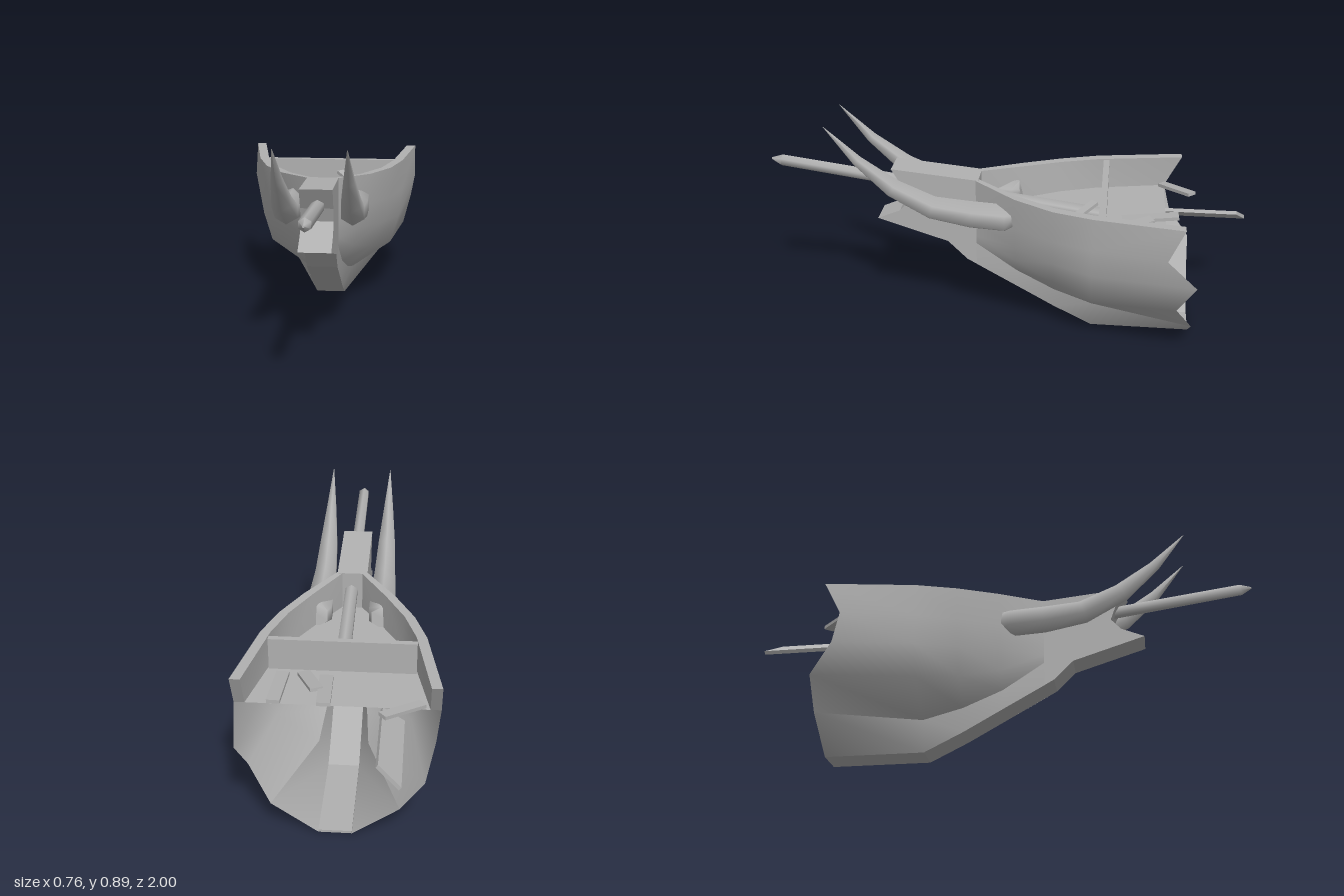
import * as THREE from 'three';
import { toCreasedNormals } from 'three/addons/utils/BufferGeometryUtils.js';

const grey = new THREE.MeshStandardMaterial({ color: 0xb0b0b0, side: THREE.DoubleSide });
grey.name = 'weathered grey';

const DECK = 0.49;
// Half cross-sections [x, y], keel to rail, at each z
const STATIONS = [
  { z: -0.77, p: [[0.063, 0], [0.24, 0.125], [0.33, 0.25], [0.365, 0.37], [0.38, 0.49], [0.38, 0.625]] },
  { z: -0.36, p: [[0.063, 0], [0.1, 0.125], [0.27, 0.245], [0.307, 0.37], [0.32, 0.49], [0.32, 0.625]] },
  { z: -0.2, p: [[0.063, 0.08], [0.085, 0.175], [0.19, 0.27], [0.238, 0.38], [0.262, 0.49], [0.27, 0.625]] },
  { z: -0.04, p: [[0.063, 0.17], [0.07, 0.25], [0.115, 0.32], [0.15, 0.4], [0.176, 0.5], [0.187, 0.632]] },
  { z: 0.13, p: [[0.063, 0.265], [0.063, 0.365], [0.064, 0.4], [0.064, 0.46], [0.064, 0.54], [0.064, 0.65]] },
];
// Broken rear edge: z of every row, for each side
const BROKEN = {
  1: [-0.77, -0.77, -0.7, -0.77, -0.65, -0.71],
  [-1]: [-0.77, -0.77, -0.77, -0.68, -0.65, -0.72],
};

// Surface through equal-length rows of [x, y, z] points
function loft(rows, flip, crease = 0.8) {
  const n = rows[0].length, index = [];
  for (let i = 0; i < rows.length - 1; i++) {
    for (let j = 0; j < n - 1; j++) {
      const a = i * n + j, b = a + 1, c = a + n, d = c + 1;
      if (flip) index.push(a, c, b, b, c, d);
      else index.push(a, b, c, b, d, c);
    }
  }
  const g = new THREE.BufferGeometry();
  g.setAttribute('position', new THREE.Float32BufferAttribute(rows.flat(2), 3));
  g.setIndex(index);
  return toCreasedNormals(g, crease);
}

function add(parent, name, geometry) {
  const mesh = new THREE.Mesh(geometry, grey);
  mesh.name = name;
  parent.add(mesh);
  return mesh;
}

function hullSide(s) {
  const side = new THREE.Group();
  side.name = s > 0 ? 'leftHull' : 'rightHull';
  const rows = STATIONS.map(({ z, p }, i) =>
    p.map(([x, y], j) => [s * x, y, i === 0 ? BROKEN[s][j] : z]));
  add(side, 'lowerStrake', loft(rows.map(r => r.slice(0, 2)), s < 0));
  add(side, 'sidePlanking', loft(rows.map(r => r.slice(1)), s < 0));
  // Rail, inner bulwark and half of the deck
  const inner = rows.map((r, i) => {
    const t = i === 4 ? 0.028 : 0.04, top = r[5], low = r[4];
    return [
      top,
      [top[0] - s * t, top[1], top[2]],
      [low[0] - s * t, DECK, low[2]],
      [0, DECK, low[2]],
    ];
  });
  add(side, 'railAndDeck', loft(inner, s < 0, 0.4));
  add(side, 'bulwarkEnd', loft([[inner[0][2], inner[0][1]], [rows[0][4], rows[0][5]]], s < 0));
  return side;
}

// Solid with a [z, y] outline, running across x
function crossSolid(points, width) {
  const g = new THREE.ExtrudeGeometry(
    new THREE.Shape(points.map(([z, y]) => new THREE.Vector2(-z, y))),
    { depth: width, bevelEnabled: false });
  return g.translate(0, 0, -width / 2).rotateY(Math.PI / 2);
}

// Six-sided curved horn: path entries are [z, y, radius]
function tusk(s) {
  const path = [[-0.04, 0.53, 0.045], [0, 0.522, 0.06], [0.14, 0.53, 0.06], [0.3, 0.553, 0.052],
    [0.46, 0.632, 0.042], [0.6, 0.745, 0.024], [0.73, 0.885, 0.001]];
  const rows = path.map(([z, y, r], i) => {
    const a = path[Math.max(i - 1, 0)], b = path[Math.min(i + 1, path.length - 1)];
    const tilt = Math.atan2(b[1] - a[1], b[0] - a[0]);
    return Array.from({ length: 7 }, (_, k) => {
      const t = -Math.PI / 2 + k * Math.PI / 3, v = Math.sin(t) * r;
      return [s * 0.13 + Math.cos(t) * r, y + v * Math.cos(tilt), z - v * Math.sin(tilt)];
    });
  });
  // Closed root
  rows.unshift(rows[0].map(() => [s * 0.13, 0.53, -0.04]));
  return loft(rows, false, 1.2);
}

export function createModel() {
  const model = new THREE.Group();
  model.name = 'brokenShipBow';
  for (const s of [1, -1]) {
    model.add(hullSide(s));
    add(model, s > 0 ? 'leftTusk' : 'rightTusk', tusk(s));
  }

  // Keel with raised, notched stem
  add(model, 'keelAndStem', crossSolid([
    [-0.77, 0], [-0.36, 0], [-0.2, 0.08], [0.17, 0.288], [0.25, 0.367], [0.545, 0.46],
    [0.45, 0.5], [0.41, 0.545], [0.43, 0.6], [0.48, 0.685], [0.12, 0.65], [0.12, 0.28],
    [-0.2, 0.09], [-0.36, 0.01], [-0.77, 0.01],
  ], 0.126));

  // Bulkhead across the deck
  const bulkhead = add(model, 'bulkhead', new THREE.BoxGeometry(0.57, 0.13, 0.025));
  bulkhead.position.set(0, 0.555, -0.395);

  // Bowsprit with a pointed end
  const bowsprit = new THREE.Group();
  bowsprit.name = 'bowsprit';
  const pole = add(bowsprit, 'pole', toCreasedNormals(new THREE.CylinderGeometry(0.025, 0.031, 1.34, 6), 1.2));
  pole.position.y = -0.045;
  const tip = add(bowsprit, 'tip', new THREE.CylinderGeometry(0.004, 0.025, 0.045, 6));
  tip.position.y = 0.6475;
  bowsprit.position.set(0.004, 0.596, 0.335);
  bowsprit.rotation.x = Math.PI / 2 - 0.135;
  model.add(bowsprit);

  // Loose planks: [x, y, z, width, length, turn, pitch]
  [
    [0.05, 0.515, -0.585, 0.052, 0.23, 0.04, 0.1],
    [0.112, 0.512, -0.52, 0.05, 0.16, 0.42, 0.12],
    [0.228, 0.505, -0.56, 0.05, 0.22, -0.04, 0.05],
    [0.105, 0.535, -0.29, 0.035, 0.2, 0.75, 0.35],
    [-0.24, 0.518, -0.7, 0.04, 0.19, -0.86, 0.12],
  ].forEach(([x, y, z, w, l, turn, pitch], i) => {
    const plank = add(model, 'loosePlank' + (i + 1), new THREE.BoxGeometry(w, 0.014, l));
    plank.position.set(x, y, z);
    plank.rotation.set(pitch, turn, 0, 'YXZ');
  });

  // Splintered beam hanging out behind, rolled on its side
  const splinter = new THREE.Shape([[-0.05, 0.6], [0.05, 0.6], [0.05, 0.955], [-0.05, 1]]
    .map(([x, z]) => new THREE.Vector2(x, z)));
  const beam = add(model, 'splinteredBeam',
    new THREE.ExtrudeGeometry(splinter, { depth: 0.015, bevelEnabled: false }).rotateX(-Math.PI / 2));
  beam.position.set(-0.198, 0.42, 0);
  beam.rotation.z = 0.6;
  return model;
}
